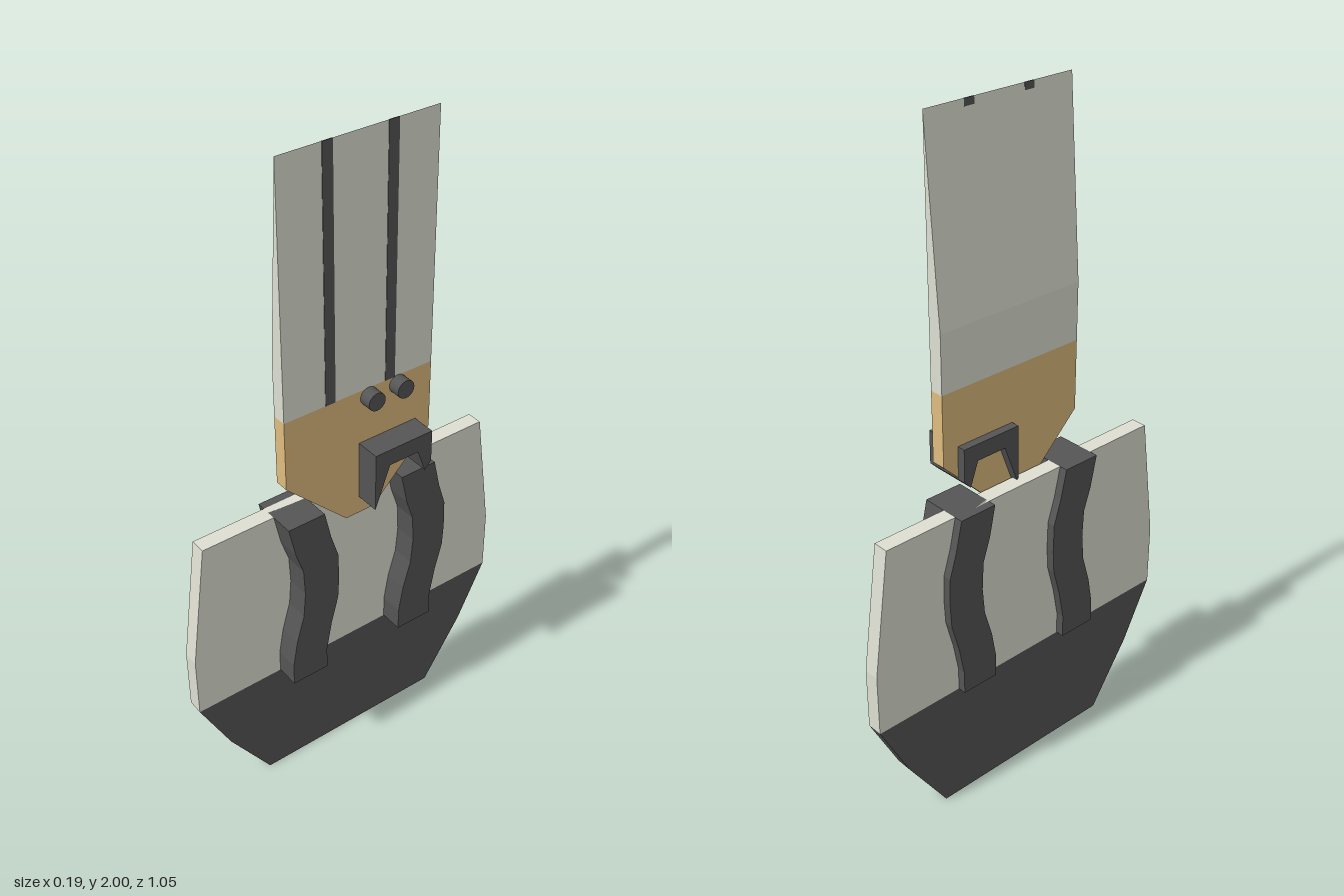
import * as THREE from 'three';

const mat = (color) => new THREE.MeshStandardMaterial({ color, flatShading: true });
const cream = mat(0xdedfd2), dark = mat(0x555555), gold = mat(0xdfbc80);

const shapeOf = (pts) => new THREE.Shape(pts.map(([a, b]) => new THREE.Vector2(a, b)));

// Side profile given as [z, y], extruded across x from x0 to x1
function slab(pts, x0, x1) {
  const g = new THREE.ExtrudeGeometry(shapeOf(pts), { depth: x1 - x0, bevelEnabled: false });
  return g.rotateY(-Math.PI / 2).translate(x1, 0, 0);
}

// Right half of a symmetric outline, mirrored about z = 0
const mirrored = (half) => [...half, ...half.map(([z, y]) => [-z, y]).reverse()];

export function createModel() {
  const group = new THREE.Group();
  const add = (name, geometry, material) => {
    const mesh = new THREE.Mesh(geometry, material);
    mesh.name = name;
    group.add(mesh);
    return mesh;
  };

  // Lower plate and its dark tapered foot
  add('lowerPlate', slab(mirrored([[0.473, 0.95], [0.525, 0.57], [0.525, 0.38]]), -0.075, -0.028), cream);
  add('lowerTip', slab(mirrored([[0.525, 0.38], [0.432, 0.195], [0.303, 0]]), -0.075, -0.028), dark);

  // Wavy ribs running through the plate
  const leftEdge = [[0.25, 0.95], [0.23, 0.855], [0.207, 0.785], [0.203, 0.7],
    [0.21, 0.62], [0.235, 0.535], [0.25, 0.45], [0.25, 0.38]];
  const rightEdge = [[0.133, 0.38], [0.133, 0.45], [0.115, 0.545], [0.092, 0.63],
    [0.088, 0.7], [0.09, 0.785], [0.113, 0.86], [0.133, 0.95]];
  for (const [name, dz] of [['frontRib', 0], ['backRib', -0.379]]) {
    const pts = [...leftEdge, ...rightEdge].map(([z, y]) => [z + dz, y]);
    add(name, slab(pts, -0.1, 0.042), dark);
  }

  // Gold base of the upper blade
  add('bladeBase', slab([[0.24, 1.28], [0.24, 1.07], [0.047, 0.88], [-0.047, 0.88],
    [-0.235, 1.07], [-0.235, 1.28]], -0.02, 0.022), gold);

  // Upper blade, tapering to a thin top edge
  const blade = new THREE.ExtrudeGeometry(
    shapeOf([[-0.02, 1.28], [0.022, 1.28], [0.022, 2], [-0.02, 1.45]]),
    { depth: 0.475, bevelEnabled: false });
  add('blade', blade.translate(0, 0, -0.235), cream);

  // Dark inlaid stripes and pegs on the +x face
  for (const z of [0.096, -0.096]) {
    add('bladeStripe', new THREE.BoxGeometry(0.003, 0.72, 0.031).translate(0.022, 1.64, z), dark);
  }
  const smoothDark = new THREE.MeshStandardMaterial({ color: 0x555555 });
  for (const z of [-0.027, -0.122]) {
    const peg = new THREE.CylinderGeometry(0.027, 0.027, 0.05, 24).rotateZ(Math.PI / 2);
    add('peg', peg.translate(0.034, 1.255, z), smoothDark);
  }

  // Arched clip through the blade base
  add('clip', slab([[0.004, 1.115], [0.004, 0.935], [-0.044, 1.065], [-0.139, 1.065],
    [-0.165, 0.993], [-0.186, 1.015], [-0.186, 1.115]], -0.045, 0.095), dark);

  return group;
}
